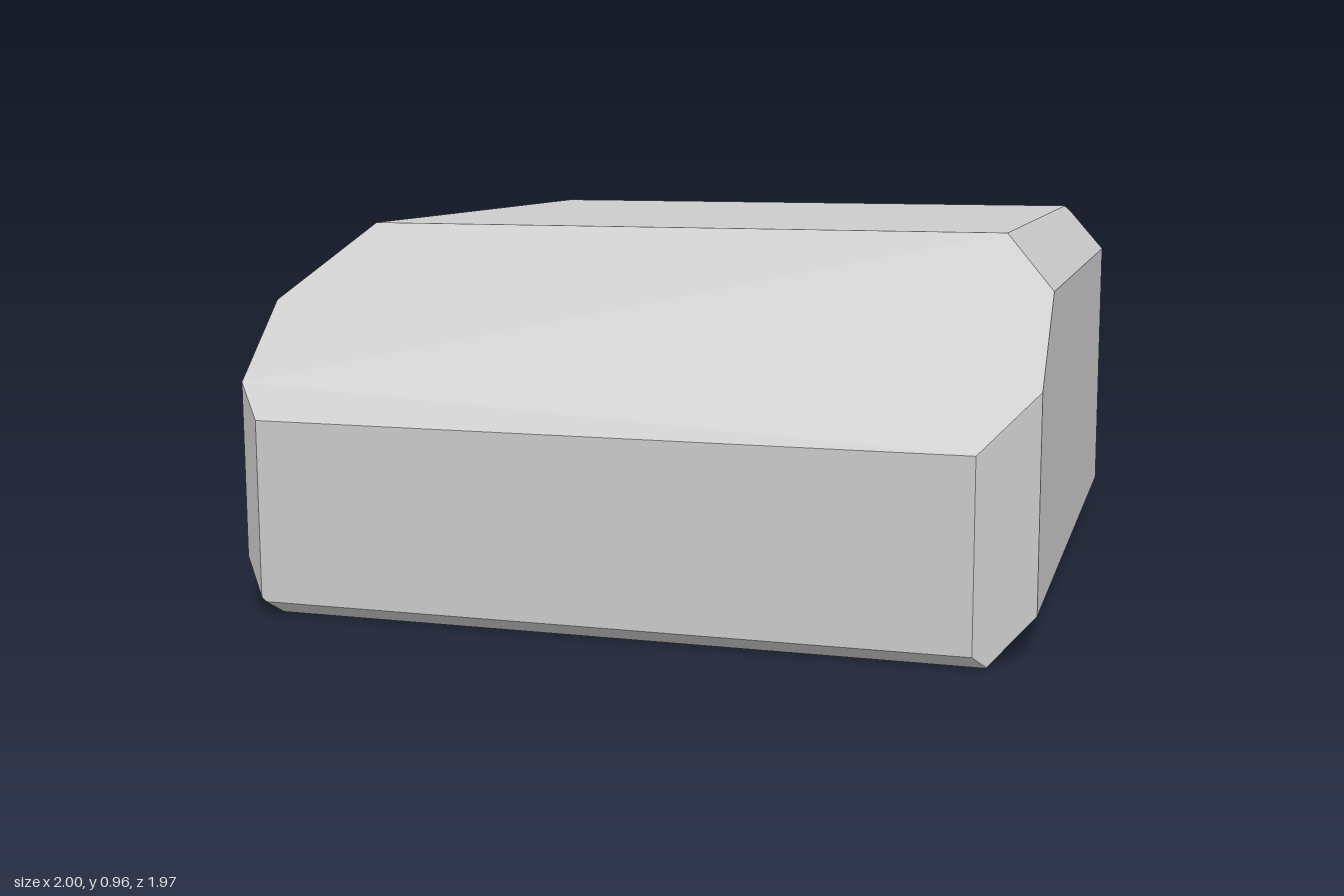
import * as THREE from 'three';

// Half-spaces nx*x + ny*y + nz*z <= d that bound the block
const PLANES = [
  // six main faces
  [1, 0, 0, 1], [-1, 0, 0, 1],
  [0, 1, 0, 0.96], [0, -1, 0, 0],
  [0, 0, 1, 0.985], [0, 0, -1, 0.985],
  // top bevels: front, back, left, right
  [0, 1, 1, 1.478], [0, 1, -1, 1.922], [1, 1, 0, 1.832], [-1, 1, 0, 1.766],
  // upright corner bevels
  [1, 0, 1, 1.855], [-1, 0, 1, 1.903], [1, 0, -1, 1.87], [-1, 0, -1, 1.806],
  // bottom bevels: front, back, left, right
  [0, -1, 1, 0.953], [0, -1, -1, 0.955], [1, -1, 0, 0.897], [-1, -1, 0, 0.875],
].map(([x, y, z, d]) => ({ n: new THREE.Vector3(x, y, z), d }));

// Corners: every point where three planes meet inside all the others
function findCorners(planes) {
  const corners = [];
  for (let i = 0; i < planes.length; i++)
    for (let j = i + 1; j < planes.length; j++)
      for (let k = j + 1; k < planes.length; k++) {
        const [a, b, c] = [planes[i], planes[j], planes[k]];
        const bc = b.n.clone().cross(c.n);
        const det = a.n.dot(bc);
        if (Math.abs(det) < 1e-6) continue;
        const p = bc.multiplyScalar(a.d)
          .addScaledVector(c.n.clone().cross(a.n), b.d)
          .addScaledVector(a.n.clone().cross(b.n), c.d)
          .divideScalar(det);
        const inside = planes.every(q => q.n.dot(p) <= q.d + 1e-6);
        if (inside && !corners.some(q => q.distanceTo(p) < 1e-5)) corners.push(p);
      }
  return corners;
}

// Each face: its corners sorted counter-clockwise and fanned into triangles
function bevelledBlock(planes) {
  const corners = findCorners(planes);
  const positions = [];
  for (const { n, d } of planes) {
    const ring = corners.filter(p => Math.abs(n.dot(p) - d) < 1e-5);
    if (ring.length < 3) continue;
    const mid = new THREE.Vector3();
    ring.forEach(p => mid.addScaledVector(p, 1 / ring.length));
    const u = ring[0].clone().sub(mid).normalize();
    const v = n.clone().normalize().cross(u);
    const angle = p => {
      const r = p.clone().sub(mid);
      return Math.atan2(r.dot(v), r.dot(u));
    };
    ring.sort((p, q) => angle(p) - angle(q));
    for (let i = 1; i < ring.length - 1; i++)
      for (const p of [ring[0], ring[i], ring[i + 1]]) positions.push(p.x, p.y, p.z);
  }
  const geometry = new THREE.BufferGeometry();
  geometry.setAttribute('position', new THREE.Float32BufferAttribute(positions, 3));
  geometry.computeVertexNormals();
  return geometry;
}

export function createModel() {
  const group = new THREE.Group();
  group.name = 'bevelledBlock';
  const material = new THREE.MeshStandardMaterial({ color: 0xcccccc, flatShading: true });
  const block = new THREE.Mesh(bevelledBlock(PLANES), material);
  block.name = 'block';
  group.add(block);
  return group;
}
